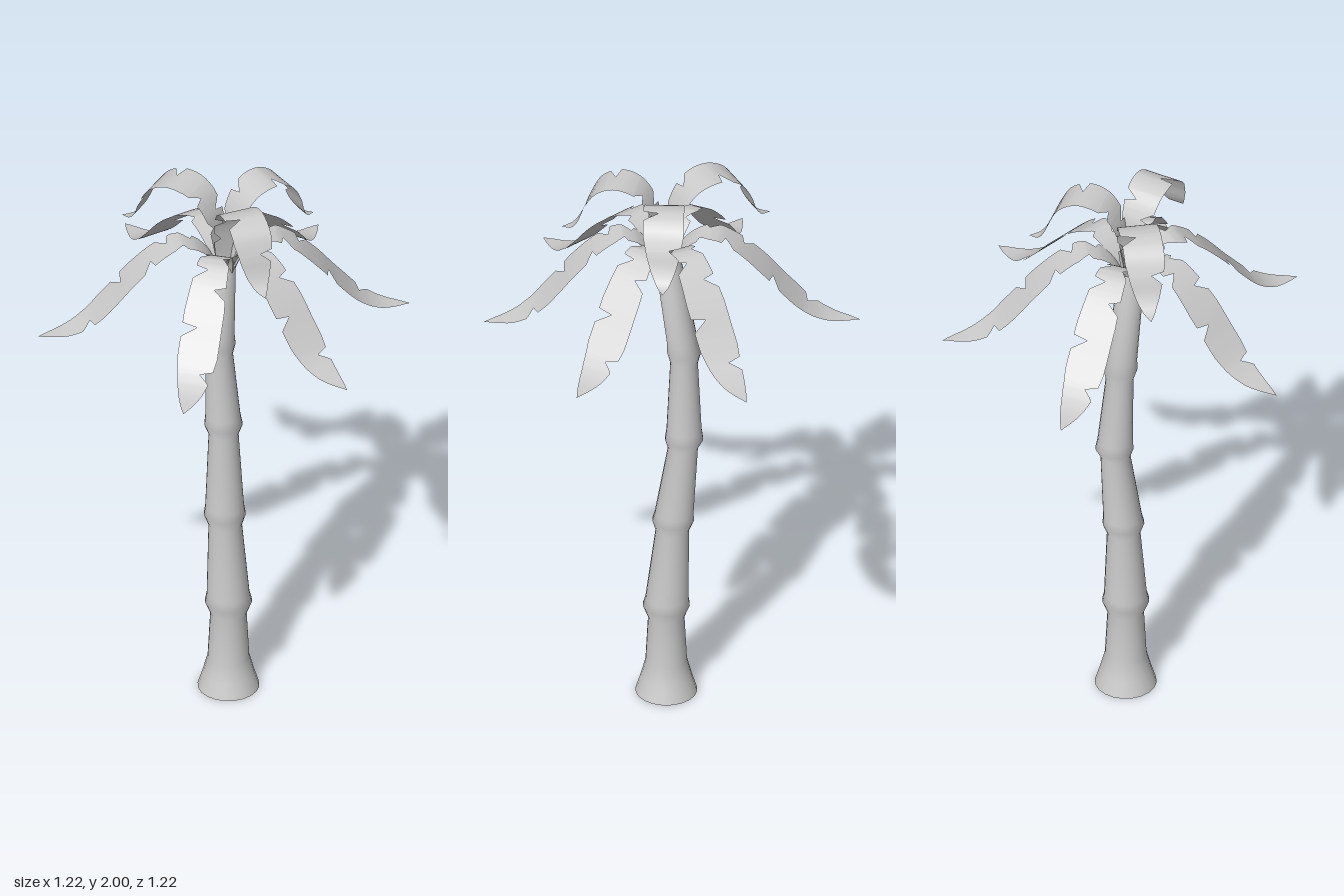
import * as THREE from 'three';

const material = new THREE.MeshStandardMaterial({ color: 0xcccccc, side: THREE.DoubleSide });

// Piecewise-linear lookup in rows of [key, value, value...]
function sample(rows, key, column) {
  let i = 1;
  while (i < rows.length - 1 && rows[i][0] < key) i++;
  const a = rows[i - 1], b = rows[i];
  const f = THREE.MathUtils.clamp((key - a[0]) / (b[0] - a[0]), 0, 1);
  return THREE.MathUtils.lerp(a[column], b[column], f);
}

// Bent trunk: a lathed profile with knots, shifted sideways along a bent centre line
function makeTrunk() {
  const profile = [
    [0.105, 0], [0.088, 0.055], [0.071, 0.12], [0.062, 0.295], [0.08, 0.34], [0.073, 0.37],
    [0.057, 0.64], [0.071, 0.68], [0.066, 0.71], [0.051, 0.98], [0.065, 1.015], [0.06, 1.05],
    [0.047, 1.31], [0.058, 1.35], [0.053, 1.39], [0.045, 1.71], [0, 1.715],
  ].map(([r, y]) => new THREE.Vector2(r, y));
  // height, x, z of the centre line
  const centre = [
    [0, 0.01, -0.025], [0.34, 0.01, -0.025], [0.68, -0.005, -0.043],
    [1.015, -0.015, -0.084], [1.35, -0.03, -0.07], [1.72, -0.008, -0.012],
  ];
  const geometry = new THREE.LatheGeometry(profile, 20);
  const p = geometry.attributes.position;
  for (let i = 0; i < p.count; i++) {
    const y = p.getY(i);
    p.setX(i, p.getX(i) + sample(centre, y, 1));
    p.setZ(i, p.getZ(i) + sample(centre, y, 2));
  }
  const trunk = new THREE.Mesh(geometry, material);
  trunk.name = 'trunk';
  return trunk;
}

// Half width of a frond along its length, and the torn notches of each side: [place, depth]
const halfWidth = [
  [0, 0.03], [0.15, 0.045], [0.3, 0.056], [0.5, 0.069], [0.7, 0.069],
  [0.8, 0.056], [0.88, 0.04], [0.95, 0.019], [1, 0],
];
const notches = {
  near: [[0.2, 0.5], [0.31, 0.75], [0.57, 0.75]],
  far: [[0.24, 0.45], [0.4, 0.65], [0.77, 0.7]],
};
const before = 0.015, after = 0.045;

function edgeWidth(t, side) {
  let cut = 0;
  for (const [n, depth] of notches[side]) {
    const d = t < n ? (n - t) / before : (t - n) / after;
    cut = Math.max(cut, depth * (1 - d));
  }
  return sample(halfWidth, t, 1) * (1 - cut);
}

// Frond: a ribbon along a curve (radius, height), torn on both sides
function frondGeometry(path) {
  const curve = new THREE.CatmullRomCurve3(path.map(([r, y]) => new THREE.Vector3(r, y, 0)), false, 'centripetal');
  const stops = Array.from({ length: 41 }, (_, i) => i / 40);
  for (const [n] of [...notches.near, ...notches.far]) stops.push(n - before, n, n + after);
  const ts = [...new Set(stops.map((t) => Math.round(t * 1000) / 1000))].sort((a, b) => a - b);
  const position = [], index = [];
  ts.forEach((t, i) => {
    const c = curve.getPointAt(t);
    for (const z of [-edgeWidth(t, 'far'), 0, edgeWidth(t, 'near')]) position.push(c.x, c.y, z);
    if (i === 0) return;
    for (let k = 0; k < 2; k++) {
      const a = (i - 1) * 3 + k, b = a + 3;
      index.push(a, a + 1, b, a + 1, b + 1, b);
    }
  });
  const geometry = new THREE.BufferGeometry();
  geometry.setAttribute('position', new THREE.Float32BufferAttribute(position, 3));
  geometry.setIndex(index);
  geometry.computeVertexNormals();
  return geometry;
}

// Ring of equal fronds, each turned and stretched to reach its tip (x, z)
function makeFronds(name, path, tips) {
  const ring = new THREE.Group();
  ring.name = name + 's';
  const geometry = frondGeometry(path);
  const reach = path[path.length - 1][0];
  const origin = [0, -0.01];
  for (const [x, z] of tips) {
    const dx = x - origin[0], dz = z - origin[1];
    const frond = new THREE.Mesh(geometry, material);
    frond.name = name;
    frond.position.set(origin[0], 0, origin[1]);
    frond.rotation.y = Math.atan2(-dz, dx);
    frond.scale.x = Math.hypot(dx, dz) / reach;
    ring.add(frond);
  }
  return ring;
}

export function createModel() {
  const model = new THREE.Group();
  model.name = 'palmTree';
  model.add(makeTrunk());
  // Long drooping fronds with tips that flatten out
  model.add(makeFronds('lowerFrond', [
    [0.02, 1.69], [0.05, 1.757], [0.1, 1.805], [0.16, 1.823], [0.23, 1.79], [0.32, 1.71],
    [0.4, 1.62], [0.47, 1.552], [0.54, 1.515], [0.64, 1.5],
  ], [[0.24, -0.61], [-0.41, -0.53], [0.61, -0.17], [-0.61, 0.2], [-0.06, 0.61], [0.47, 0.39]]));
  // Short upright fronds that curl over
  model.add(makeFronds('upperFrond', [
    [0.01, 1.69], [0.02, 1.8], [0.045, 1.91], [0.1, 1.98], [0.18, 2.0], [0.25, 1.97],
    [0.293, 1.905], [0.32, 1.84], [0.35, 1.8], [0.39, 1.787],
  ], [[-0.37, -0.15], [0.27, -0.25], [0.18, 0.3]]));
  return model;
}
